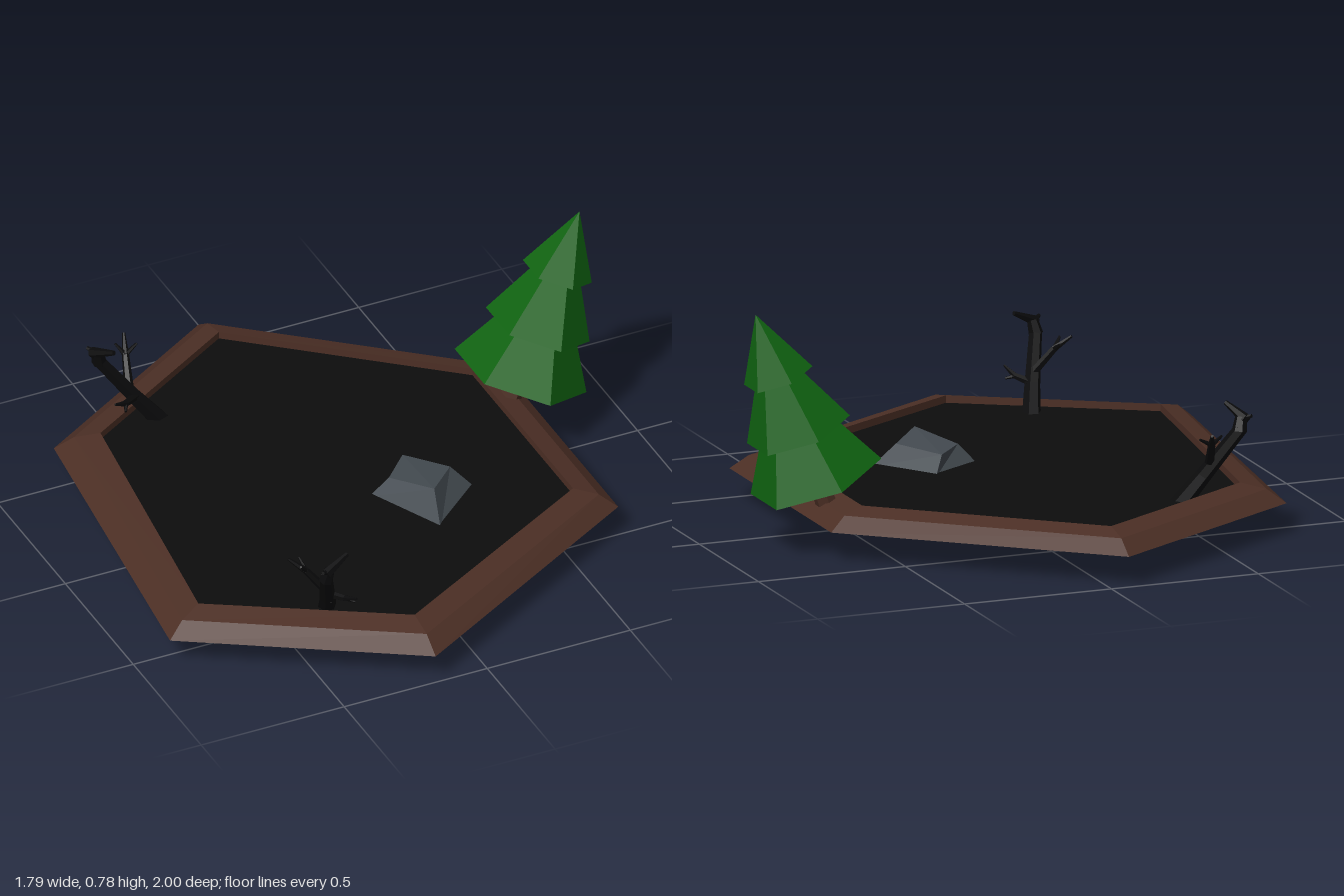
import * as THREE from 'three';

const mat = (name, color) => {
  const m = new THREE.MeshStandardMaterial({ color });
  m.name = name;
  return m;
};

// Faceted normals for low-poly parts
function facet(geo) {
  const g = geo.index ? geo.toNonIndexed() : geo;
  g.computeVertexNormals();
  return g;
}

// Joins rings of points from bottom to top; optionally closes the last ring
function loft(rings, cap) {
  const pos = [];
  const tri = (...pts) => pts.forEach((p) => pos.push(...p));
  for (let r = 0; r < rings.length - 1; r++) {
    const lo = rings[r], hi = rings[r + 1], n = lo.length;
    for (let i = 0; i < n; i++) {
      const j = (i + 1) % n;
      tri(lo[i], hi[i], lo[j]);
      tri(lo[j], hi[i], hi[j]);
    }
  }
  if (cap) {
    const top = rings[rings.length - 1];
    for (let i = 1; i < top.length - 1; i++) tri(top[0], top[i + 1], top[i]);
  }
  const g = new THREE.BufferGeometry();
  g.setAttribute('position', new THREE.Float32BufferAttribute(pos, 3));
  return facet(g);
}

function add(parent, name, geo, material) {
  const m = new THREE.Mesh(geo, material);
  m.name = name;
  parent.add(m);
  return m;
}

// Tapered straight limb between two points
function limb(parent, name, a, b, r0, r1, material, sides = 6) {
  const from = new THREE.Vector3(...a), to = new THREE.Vector3(...b);
  const dir = to.clone().sub(from), len = dir.length();
  const m = add(parent, name, facet(new THREE.CylinderGeometry(r1, r0, len, sides)), material);
  m.position.copy(from).addScaledVector(dir, 0.5);
  m.quaternion.setFromUnitVectors(new THREE.Vector3(0, 1, 0), dir.normalize());
}

export function createModel() {
  const model = new THREE.Group();
  model.name = 'swampTile';
  const earth = mat('earth brown', 0x4c2f25);
  const tar = mat('dark pool', 0x0d0d0d);
  const dead = mat('dead wood', 0x0a0a0b);
  const needle = mat('needle green', 0x0f6210);
  const stone = mat('stone grey', 0x434a50);

  // Six-cornered bank around the pool
  const outer = [[-0.06, -1], [0.7, -0.37], [0.7, 0.49], [-0.18, 1], [-0.9, 0.56], [-0.77, -0.57]];
  const inner = [[-0.06, -0.85], [0.575, -0.32], [0.575, 0.42], [-0.18, 0.845], [-0.77, 0.495], [-0.64, -0.5]];
  const ring = (t, y) => outer.map(([x, z], i) => [
    x + (inner[i][0] - x) * t, y, z + (inner[i][1] - z) * t]);
  add(model, 'bank', loft([ring(0, 0.09), ring(0.43, 0.135), ring(1, 0.154), ring(1, 0.13)]), earth);
  add(model, 'poolSurface', loft([ring(1, 0.13)], true), tar);
  add(model, 'underside', loft([ring(0, 0.09).reverse()], true), tar);

  // Half-sunken boulder
  add(model, 'boulder', loft([
    [[0.18, 0.12, 0.035], [0.32, 0.12, 0.235], [0.12, 0.12, 0.405], [-0.005, 0.12, 0.14]],
    [[0.15, 0.185, 0.06], [0.25, 0.197, 0.2], [0.14, 0.215, 0.315], [0.055, 0.187, 0.16]],
  ], true), stone);

  // Leaning conifer
  const conifer = new THREE.Group();
  conifer.name = 'conifer';
  conifer.position.set(0.667, 0.22, -0.16);
  conifer.rotation.z = -0.36;
  model.add(conifer);
  limb(conifer, 'coniferTrunk', [0, -0.12, 0], [0, 0.04, 0], 0.036, 0.026, earth);
  [[0, 0.19, 0.22, 0.115], [0.17, 0.215, 0.173, 0.065], [0.365, 0.22, 0.115, 0]]
    .forEach(([y, h, r0, r1], i) => {
      const g = new THREE.CylinderGeometry(r1, r0, h, 6).translate(0, y + h / 2, 0);
      add(conifer, 'foliageTier' + (i + 1), facet(g), needle);
    });

  // Dead trees: [start, end, start radius, end radius]
  const limbs = [
    [[0.012, -0.015, 0.005], [-0.02, 0.04, -0.008], 0.046, 0.036],
    [[-0.02, 0.04, -0.008], [-0.13, 0.18, -0.04], 0.036, 0.027],
    [[-0.13, 0.18, -0.04], [-0.245, 0.335, -0.08], 0.027, 0.022],
    [[-0.24, 0.325, -0.08], [-0.25, 0.372, -0.07], 0.025, 0.019],
    [[-0.262, 0.365, -0.085], [-0.225, 0.405, 0], 0.019, 0.008],
    [[-0.25, 0.365, -0.07], [-0.275, 0.38, -0.1], 0.012, 0.006],
    [[-0.15, 0.215, -0.045], [-0.13, 0.3, -0.115], 0.016, 0.012],
    [[-0.13, 0.3, -0.115], [-0.11, 0.345, -0.17], 0.012, 0.005],
    [[-0.13, 0.3, -0.115], [-0.085, 0.325, -0.125], 0.009, 0.004],
    [[-0.13, 0.3, -0.115], [-0.155, 0.335, -0.14], 0.009, 0.004],
    [[-0.13, 0.19, -0.035], [-0.185, 0.2, 0.005], 0.015, 0.011],
    [[-0.185, 0.2, 0.005], [-0.235, 0.225, 0.03], 0.011, 0.004],
    [[-0.185, 0.2, 0.005], [-0.2, 0.19, 0.035], 0.008, 0.004],
  ];
  const deadTree = (name, x, z, turn, size) => {
    const t = new THREE.Group();
    t.name = name;
    limbs.forEach(([a, b, r0, r1], i) => limb(t, i < 4 ? 'deadTrunk' : 'deadBranch', a, b, r0, r1, dead));
    t.position.set(x, 0.03, z);
    t.rotation.y = turn;
    t.scale.setScalar(size);
    model.add(t);
  };
  deadTree('backDeadTree', -0.36, -0.525, 0, 0.98);
  deadTree('frontDeadTree', -0.36, 0.58, 1.43, 0.95);

  return model;
}
